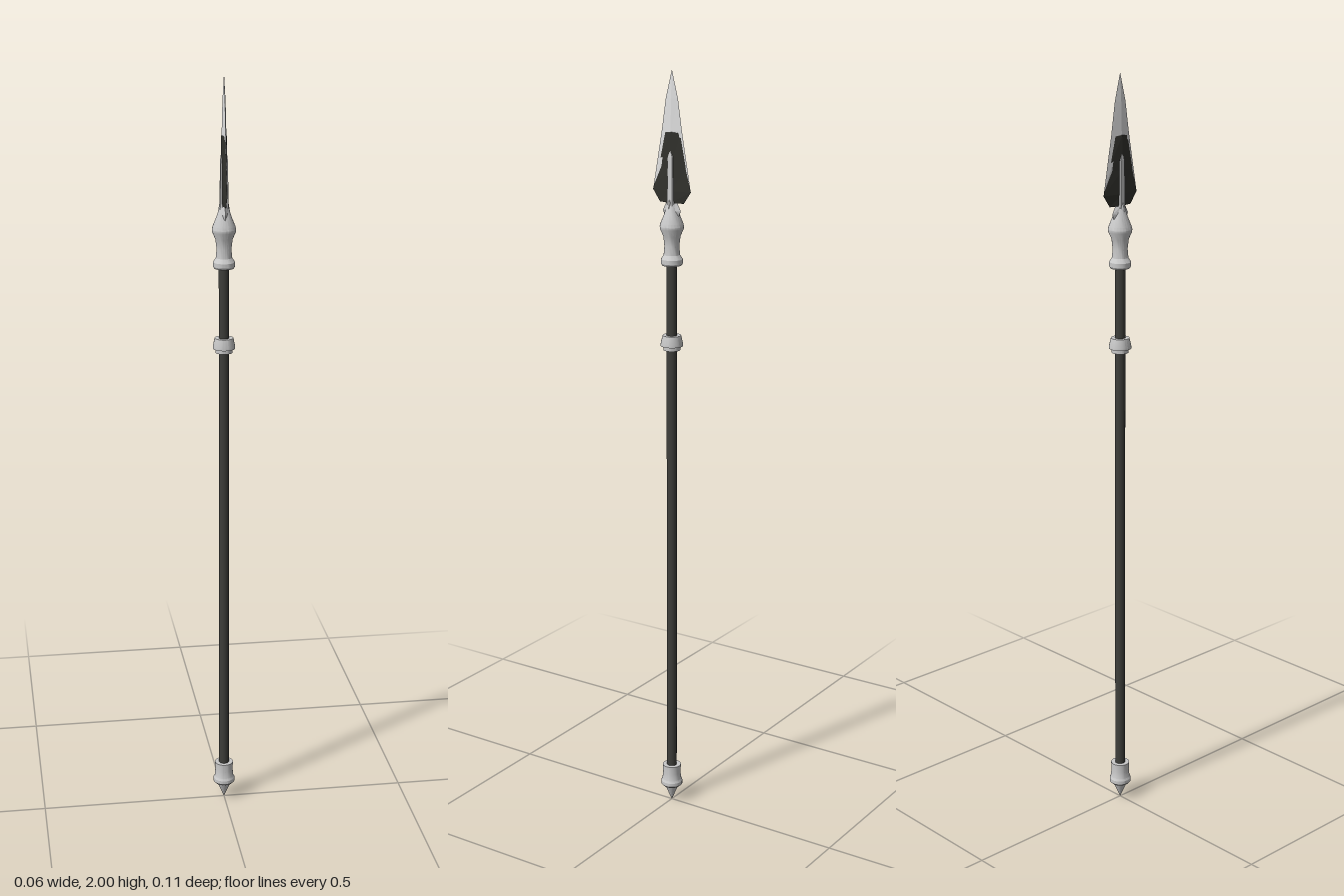
import * as THREE from 'three';
import { toCreasedNormals } from 'three/addons/utils/BufferGeometryUtils.js';

const material = (name, color) => {
  const m = new THREE.MeshStandardMaterial({ color });
  m.name = name;
  return m;
};

// Turned part from [radius, y] pairs, listed bottom to top
function turned(points) {
  const profile = points.map(([r, y]) => new THREE.Vector2(r, y));
  return toCreasedNormals(new THREE.LatheGeometry(profile, 24), 0.4);
}

// Section outlines as [x, z] factors, counted from +x towards +z
const DIAMOND = [[1, 0], [0, 1], [-1, 0], [0, -1]];
const BLOCK = [[1, -0.8], [1, 0.8], [0.6, 1], [-0.6, 1], [-1, 0.8], [-1, -0.8], [-0.6, -1], [0.6, -1]];

// Flat-faced loft of [y, half depth z, half thickness x] sections, bottom to top
function loft(outline, sections) {
  const n = outline.length;
  const corner = ([y, hz, hx], i) => [outline[i % n][0] * hx, y, outline[i % n][1] * hz];
  const pos = [];
  for (let k = 0; k < sections.length - 1; k++) {
    for (let i = 0; i < n; i++) {
      const a = corner(sections[k], i), b = corner(sections[k], i + 1);
      const c = corner(sections[k + 1], i), d = corner(sections[k + 1], i + 1);
      pos.push(...a, ...c, ...b, ...b, ...c, ...d);
    }
  }
  const g = new THREE.BufferGeometry();
  g.setAttribute('position', new THREE.Float32BufferAttribute(pos, 3));
  g.computeVertexNormals();
  return g;
}

export function createModel() {
  const steel = material('steel', 0xcacaca);
  const blade = material('bladeSteel', 0xe0e0e0);
  const dark = material('darkMetal', 0x32322d);
  const wood = material('shaftGrey', 0x3e3e3a);

  const group = new THREE.Group();
  group.name = 'spear';
  const add = (name, geometry, mat) => {
    const mesh = new THREE.Mesh(geometry, mat);
    mesh.name = name;
    group.add(mesh);
  };

  // Shaft
  const shaft = new THREE.CylinderGeometry(0.0135, 0.0135, 1.46, 20);
  shaft.translate(0, 0.8, 0);
  add('shaft', shaft, wood);

  // Butt cap with its ground spike
  add('buttCap', turned([
    [0, 0.045], [0.024, 0.045], [0.029, 0.05], [0.029, 0.06], [0.026, 0.066],
    [0.024, 0.085], [0.025, 0.108], [0.0135, 0.108],
  ]), steel);
  add('buttSpike', turned([[0, 0], [0.02, 0.046], [0, 0.046]]), steel);

  // Grip ring
  add('gripRing', turned([
    [0.0135, 1.288], [0.022, 1.288], [0.022, 1.298], [0.029, 1.299], [0.029, 1.305],
    [0.024, 1.327], [0.0135, 1.327],
  ]), steel);

  // Waisted socket under the head
  add('socket', turned([
    [0.0135, 1.51], [0.025, 1.51], [0.028, 1.515], [0.028, 1.526], [0.021, 1.537],
    [0.019, 1.56], [0.022, 1.585], [0.03, 1.603], [0.031, 1.61], [0.029, 1.618],
    [0.02, 1.64], [0.011, 1.668], [0, 1.672],
  ]), steel);

  // Bright blade, showing as a thin edge around the dark guard
  add('blade', loft(DIAMOND, [
    [1.69, 0, 0], [1.71, 0.055, 0.004], [1.85, 0.03, 0.006],
    [1.93, 0.018, 0.004], [2, 0, 0],
  ]), blade);

  // Dark guard around the lower blade
  add('bladeGuard', loft(DIAMOND, [
    [1.668, 0, 0], [1.67, 0.036, 0.007], [1.7, 0.057, 0.008],
    [1.76, 0.0435, 0.008], [1.845, 0.027, 0.0078], [1.856, 0, 0],
  ]), dark);

  // Claw holding the blade on the socket
  add('claw', loft(DIAMOND, [
    [1.61, 0.012, 0.012], [1.65, 0.027, 0.016], [1.675, 0.014, 0.012], [1.69, 0, 0.008],
  ]), steel);

  // Central rib rising from the socket
  add('centralRib', loft(BLOCK, [
    [1.64, 0.01, 0.011], [1.675, 0.0095, 0.0105], [1.785, 0.008, 0.009], [1.805, 0, 0.007],
  ]), steel);

  return group;
}
